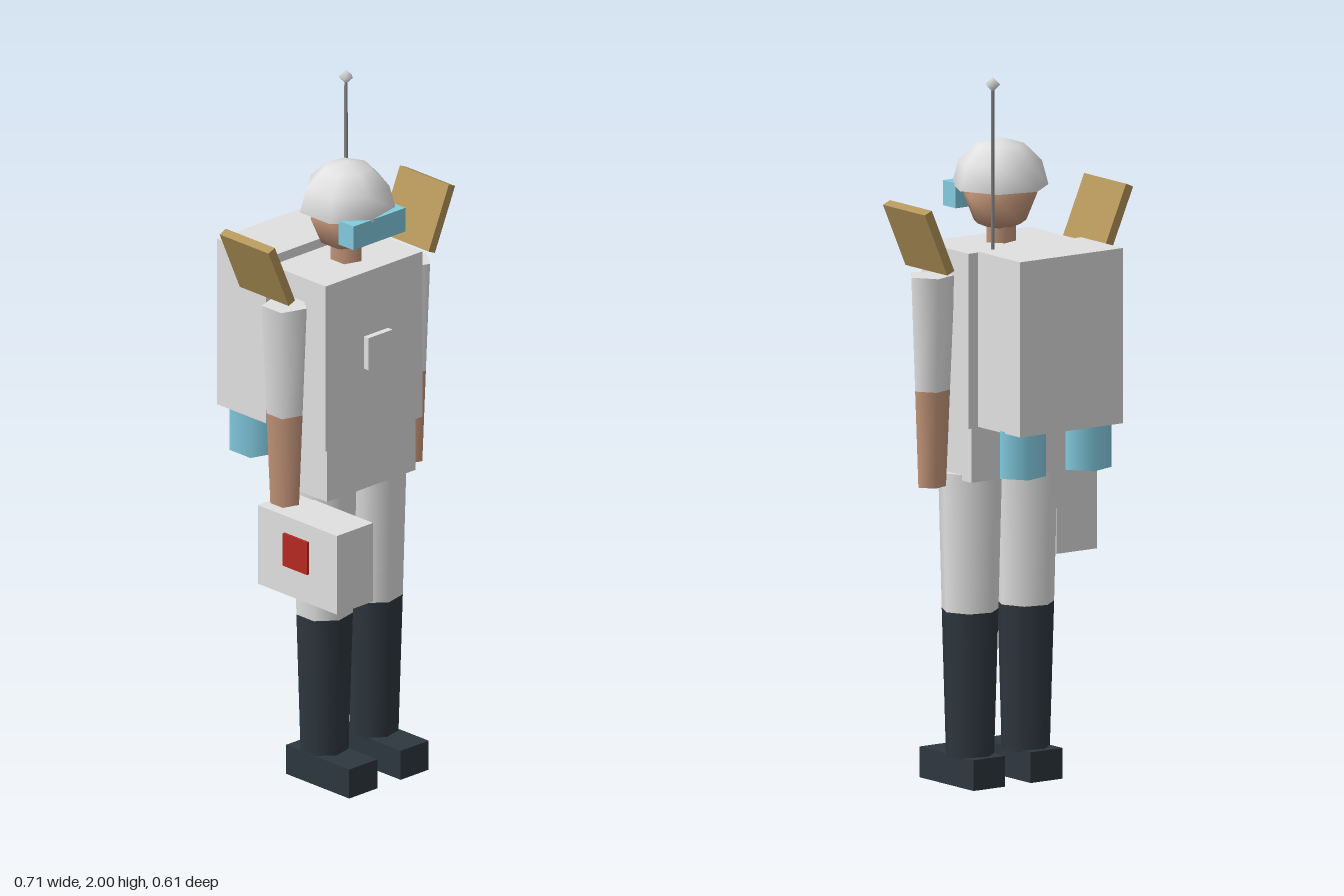
import * as THREE from 'three';

const mat = (name, color, opts = {}) => {
  const m = new THREE.MeshStandardMaterial({ color, ...opts });
  m.name = name;
  return m;
};

export function createModel() {
  const white = mat('suitWhite', 0xe0e1e0);
  const skin = mat('skin', 0xc4967a);
  const dark = mat('bootDark', 0x2e373f);
  const cyan = mat('cyanBlue', 0x82cbe0);
  const brown = mat('panelBrown', 0xb4965a);
  const red = mat('badgeRed', 0xb62a22);
  const steel = mat('antennaGrey', 0x85888a);

  const model = new THREE.Group();
  model.name = 'backpackExplorer';

  const add = (name, geometry, material) => {
    const mesh = new THREE.Mesh(geometry, material);
    mesh.name = name;
    model.add(mesh);
    return mesh;
  };
  // Box given by its min and max on each axis
  const box = (name, material, [x0, x1], [y0, y1], [z0, z1]) =>
    add(name, new THREE.BoxGeometry(x1 - x0, y1 - y0, z1 - z0), material)
      .position.set((x0 + x1) / 2, (y0 + y1) / 2, (z0 + z1) / 2);
  // Upright tapered prism with one corner pointing to +x
  const prism = (name, material, sides, x, z, [y0, r0], [y1, r1]) =>
    add(name, new THREE.CylinderGeometry(r1, r0, y1 - y0, sides, 1, false, Math.PI / 2), material)
      .position.set(x, (y0 + y1) / 2, z);

  // Trunk
  box('torso', white, [-0.185, 0.185], [1.02, 1.51], [-0.079, 0.135]);
  box('pelvis', white, [-0.172, 0.165], [0.865, 1.02], [-0.065, 0.127]);
  box('chestUnit', white, [-0.047, 0.045], [1.23, 1.325], [0.143, 0.161]);

  // Head, neck, visor
  prism('neck', skin, 5, 0, 0.027, [1.5, 0.045], [1.56, 0.045]);
  add('head', new THREE.SphereGeometry(0.105, 7, 4, Math.PI), skin).position.set(0, 1.64, 0.027);
  box('visor', cyan, [-0.1, 0.098], [1.6, 1.67], [0.098, 0.157]);

  // Helmet dome and its underside
  add('helmet', new THREE.SphereGeometry(0.136, 7, 3, Math.PI, Math.PI * 2, 0, Math.PI / 2), white)
    .position.set(0, 1.663, 0.027);
  const rim = add('helmetUnderside', new THREE.CircleGeometry(0.136, 7), white);
  rim.rotation.x = Math.PI / 2;
  rim.position.set(0, 1.663, 0.027);

  // Arms: sleeve and bare forearm
  for (const [side, x] of [['left', 0.235], ['right', -0.235]]) {
    prism(side + 'Sleeve', white, 5, x, 0.028, [1.12, 0.053], [1.44, 0.066]);
    prism(side + 'Forearm', skin, 5, x, 0.028, [0.85, 0.042], [1.12, 0.053]);
  }

  // Legs: trouser, boot shaft and foot
  for (const [side, x, f0, f1] of [['left', 0.1, 0.043, 0.15], ['right', -0.09, -0.153, -0.045]]) {
    prism(side + 'Trouser', white, 7, x, 0.03, [0.49, 0.08], [0.88, 0.09]);
    prism(side + 'Boot', dark, 7, x, 0.03, [0.08, 0.068], [0.49, 0.08]);
    box(side + 'Foot', dark, [f0, f1], [0, 0.086], [-0.055, 0.195]);
  }

  // Backpack with two canisters underneath
  box('backpack', white, [-0.177, 0.175], [1.03, 1.52], [-0.304, -0.109]);
  for (const x of [-0.11, 0.113])
    prism('canister', cyan, 5, x, -0.223, [0.903, 0.07], [1.035, 0.07]);

  // Antenna
  prism('antennaRod', steel, 5, 0.117, -0.098, [1.49, 0.006], [1.98, 0.005]);
  add('antennaTip', new THREE.SphereGeometry(0.021, 5, 2, Math.PI), white).position.set(0.117, 1.979, -0.098);

  // Tilted shoulder panels
  for (const s of [1, -1]) {
    const panel = add('shoulderPanel', new THREE.BoxGeometry(0.026, 0.193, 0.194), brown);
    panel.position.set(s * 0.305, 1.558, -0.011);
    panel.rotation.z = -s * 0.41;
  }

  // Carried case with a badge
  box('case', white, [-0.304, -0.166], [0.62, 0.853], [-0.01, 0.303]);
  box('caseBadge', red, [-0.312, -0.303], [0.707, 0.803], [0.097, 0.193]);

  return model;
}
